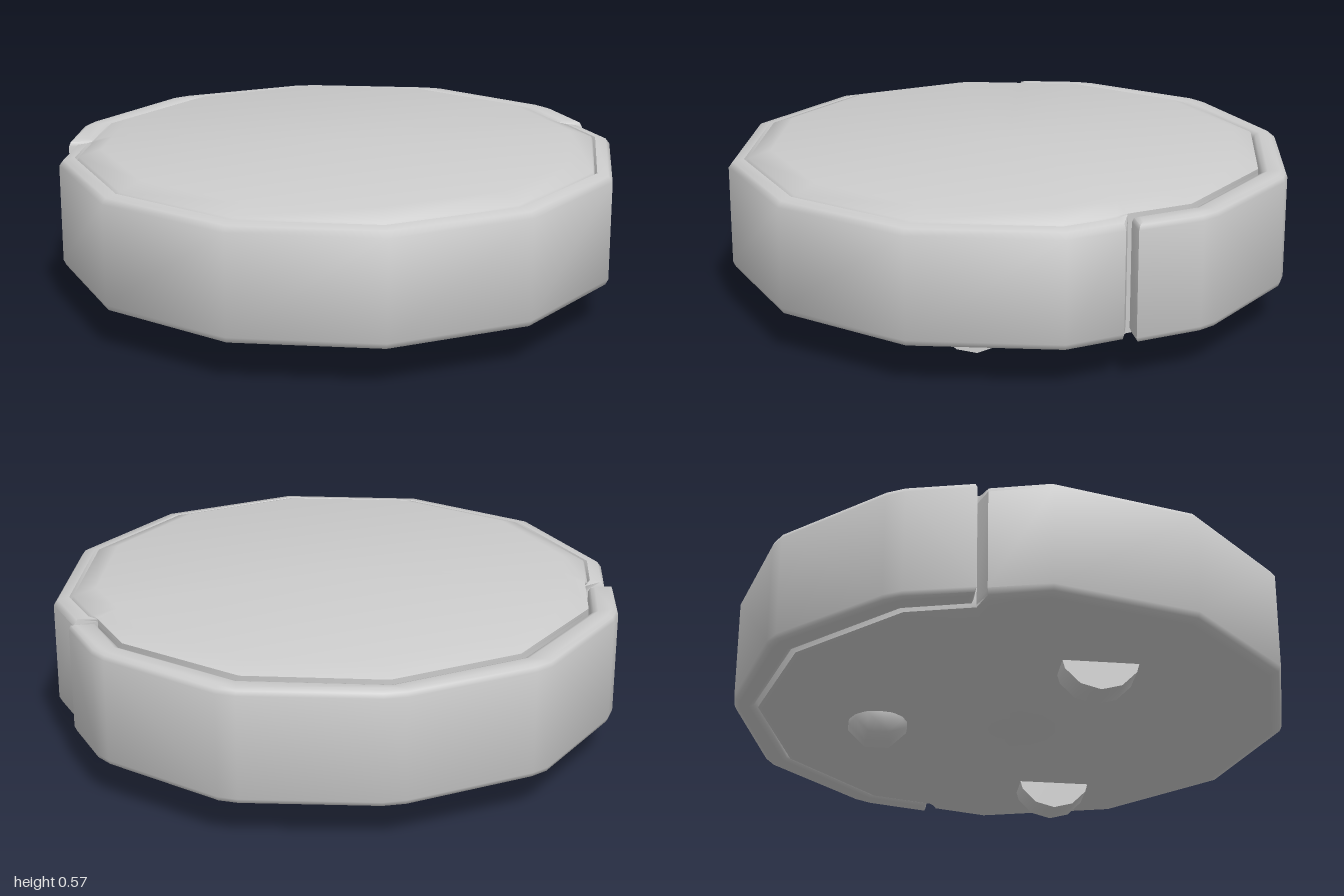
import * as THREE from 'three';
import { toCreasedNormals } from 'three/addons/utils/BufferGeometryUtils.js';

const material = new THREE.MeshStandardMaterial({ color: 0xcccccc });

function addPart(group, name, geometry, crease = 0.95) {
  const mesh = new THREE.Mesh(toCreasedNormals(geometry, crease), material);
  mesh.name = name;
  group.add(mesh);
  return mesh;
}

// Unit plan of the body, running from front to left, back and right.
// "back" points are recessed to make room for the bumper.
function bodyPlan() {
  const half = [];
  for (let i = 0; i <= 3; i++) {
    const a = (i * Math.PI) / 6;
    half.push({ x: Math.sin(a), z: Math.cos(a), back: false });
  }
  half.push({ x: 0.945, z: -0.205, back: false }, { x: 0.933, z: -0.25, back: true });
  for (let i = 4; i <= 6; i++) {
    const a = (i * Math.PI) / 6;
    half.push({ x: Math.sin(a), z: Math.cos(a), back: true });
  }
  const mirrored = half.slice(1, -1).reverse().map((p) => ({ ...p, x: -p.x }));
  return [...half, ...mirrored];
}

// Stack of plan loops, each [scale, height], closed at both ends
function loftBody(levels, backLimit) {
  const plan = bodyPlan();
  const n = plan.length;
  const positions = [];
  const index = [];
  for (const [scale, y] of levels) {
    for (const p of plan) {
      const s = p.back ? Math.min(scale, backLimit) : scale;
      positions.push(p.x * s, y, p.z * s * 0.99);
    }
  }
  const last = levels.length - 1;
  const bottom = n * levels.length;
  positions.push(0, levels[0][1], 0, 0, levels[last][1], 0);
  for (let i = 0; i < n; i++) {
    const j = (i + 1) % n;
    for (let k = 0; k < last; k++) {
      const a = k * n + i, b = k * n + j;
      index.push(a, b, b + n, a, b + n, a + n);
    }
    index.push(bottom, j, i, bottom + 1, last * n + i, last * n + j);
  }
  const geometry = new THREE.BufferGeometry();
  geometry.setAttribute('position', new THREE.Float32BufferAttribute(positions, 3));
  geometry.setIndex(index);
  return geometry;
}

// Rear bumper: a half ring with softened edges
function bumperGeometry() {
  const outer = [[0.963, 0.24], [0.905, 0.47], [0.87, 0.53], [0.55, 0.86], [0.49, 0.89], [0.04, 1]];
  const inner = [[0.872, 0.24], [0.81, 0.465], [0.47, 0.802]];
  const flip = ([x, y]) => [-x, y];
  const outline = [
    ...outer, ...outer.map(flip).reverse(),
    ...inner.map(flip), [0, 0.926], ...[...inner].reverse(),
  ];
  const shape = new THREE.Shape(outline.map(([x, y]) => new THREE.Vector2(x, y)));
  const bevel = 0.022;
  const geometry = new THREE.ExtrudeGeometry(shape, {
    depth: 0.405 - 2 * bevel, bevelThickness: bevel, bevelSize: bevel,
    bevelOffset: -bevel, bevelSegments: 2,
  });
  geometry.rotateX(-Math.PI / 2);
  geometry.translate(0, 0.14 + bevel, 0);
  return geometry;
}

export function createModel() {
  const group = new THREE.Group();
  group.name = 'roundFloorCleaner';

  // Body with sloped underside, rounded rim, fine seam and raised lid
  const levels = [
    [0.8, 0.1], [0.96, 0.14], [0.99, 0.15], [1, 0.17], [1, 0.52],
    [0.985, 0.54], [0.945, 0.547], [0.937, 0.535], [0.93, 0.549], [0.85, 0.575],
  ];
  addPart(group, 'body', loftBody(levels, 0.925));
  addPart(group, 'bumper', bumperGeometry());

  // Drive wheels, mostly hidden in the body
  for (const side of [1, -1]) {
    const wheel = new THREE.CylinderGeometry(0.14, 0.14, 0.12, 12);
    wheel.rotateZ(Math.PI / 2);
    const name = side > 0 ? 'leftWheel' : 'rightWheel';
    addPart(group, name, wheel).position.set(side * 0.54, 0.14, 0.215);
  }

  // Rear ball caster, turned so a facet faces the floor
  const ball = new THREE.SphereGeometry(0.115, 8, 7);
  ball.rotateY(Math.PI / 8);
  ball.rotateZ(Math.PI / 2);
  addPart(group, 'caster', ball).position.set(0, 0.122, -0.49);

  return group;
}
